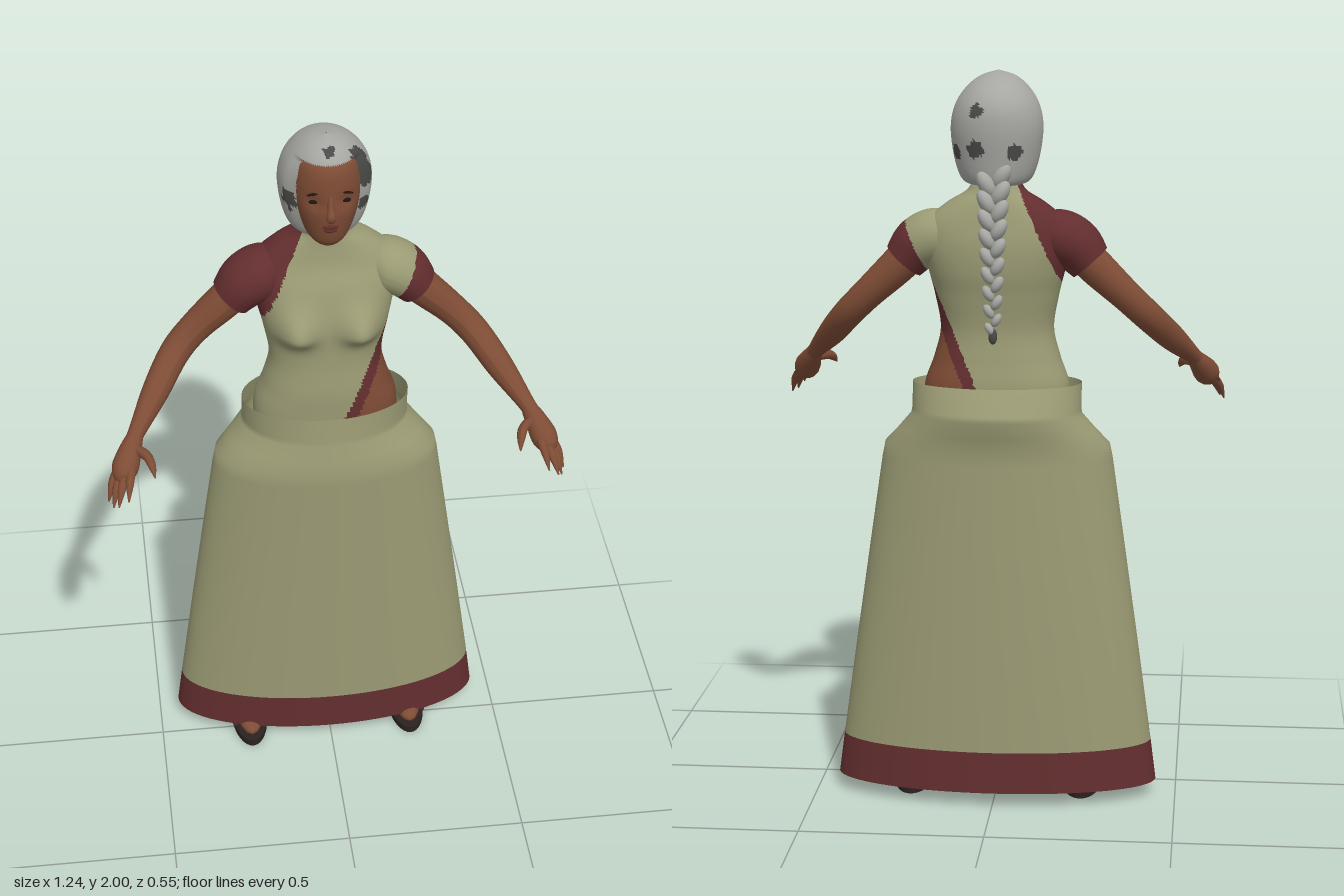
import * as THREE from 'three';

const mat = (name, color, side = THREE.DoubleSide) => {
  const m = new THREE.MeshStandardMaterial({ color, side });
  m.name = name;
  return m;
};
const olive = mat('olive cloth', 0x9a9a74);
const maroon = mat('maroon cloth', 0x632e2f);
const skin = mat('skin', 0x7e4c35);
const grey = mat('grey hair', 0xa6a6a2);
const dark = mat('dark hair', 0x4a4a48);
const sole = mat('sole', 0x2b221f);
const ink = mat('eyes', 0x1c1412);
const lip = mat('lips', 0x5c2c26);

const add = (parent, name, geo, material) => {
  const mesh = new THREE.Mesh(geo, material);
  mesh.name = name;
  parent.add(mesh);
  return mesh;
};

// Sort triangles into material groups by a rule on their centre; -1 drops them.
function paint(geo, pick, count) {
  const p = geo.attributes.position, idx = geo.index.array;
  const sets = Array.from({ length: count }, () => []);
  for (let i = 0; i < idx.length; i += 3) {
    const t = [idx[i], idx[i + 1], idx[i + 2]];
    const mid = f => t.reduce((sum, k) => sum + p[f](k), 0) / 3;
    const m = pick(mid('getX'), mid('getY'), mid('getZ'));
    if (m >= 0) sets[m].push(...t);
  }
  geo.setIndex(sets.flat());
  geo.clearGroups();
  let start = 0;
  sets.forEach((s, m) => { geo.addGroup(start, s.length, m); start += s.length; });
  return geo;
}

// Loft oval sections [y, half width, front z, back z] listed from bottom to top.
function loft(sections, { around = 64, rows = 40, power = 1, smooth = true, shape } = {}) {
  const curve = f => new THREE.CatmullRomCurve3(sections.map(f), false, 'catmullrom', 0.5);
  const size = curve(s => new THREE.Vector3(s[1], s[0], 0));
  const depth = curve(s => new THREE.Vector3(s[2], s[0], s[3]));
  if (!smooth) rows = sections.length - 1;
  const pos = [], index = [], v = new THREE.Vector3();
  const bend = n => Math.sign(n) * Math.abs(n) ** power;
  for (let j = 0; j <= rows; j++) {
    const a = size.getPoint(j / rows), b = depth.getPoint(j / rows);
    for (let i = 0; i < around; i++) {
      const t = i / around * Math.PI * 2;
      v.set(a.x * bend(Math.sin(t)), a.y, (b.x + b.z) / 2 + (b.x - b.z) / 2 * bend(Math.cos(t)));
      if (shape) shape(v);
      pos.push(v.x, v.y, v.z);
      if (j === rows) continue;
      const k = j * around + i, n = j * around + (i + 1) % around;
      index.push(k, n, k + around, n, n + around, k + around);
    }
  }
  const geo = new THREE.BufferGeometry();
  geo.setAttribute('position', new THREE.Float32BufferAttribute(pos, 3));
  geo.setIndex(index);
  geo.computeVertexNormals();
  return geo;
}

// Tapered tube through points [x, y, z, radius]; side mirrors x.
function limb(points, side = 1, steps = 20, sides = 16, zScale = 1) {
  const curve = new THREE.CatmullRomCurve3(points.map(p => new THREE.Vector3(p[0] * side, p[1], p[2])), false, 'catmullrom', 0.5);
  const radius = new THREE.CatmullRomCurve3(points.map(p => new THREE.Vector3(p[3], 0, 0)), false, 'catmullrom', 0.5);
  const geo = new THREE.TubeGeometry(curve, steps, 1, sides);
  const p = geo.attributes.position, v = new THREE.Vector3();
  for (let i = 0; i < p.count; i++) {
    const u = Math.floor(i / (sides + 1)) / steps, c = curve.getPointAt(u);
    v.fromBufferAttribute(p, i).sub(c).multiplyScalar(radius.getPoint(curve.getUtoTmapping(u)).x);
    p.setXYZ(i, c.x + v.x, c.y + v.y, c.z + v.z * zScale);
  }
  geo.computeVertexNormals();
  return geo;
}

function blob(parent, name, material, [x, y, z], [a, b, c], tilt = 0) {
  const m = add(parent, name, new THREE.SphereGeometry(1, 16, 12), material);
  m.position.set(x, y, z);
  m.scale.set(a, b, c);
  m.rotation.z = tilt;
  return m;
}

// Drape edge on the left side and blouse edge on the right shoulder.
const drapeEdge = y => 0.05 + (y - 1.165) * 0.45;
const cloth = (x, y) => {
  if (x < 0) return y > 1.42 && x < -0.185 + (y - 1.42) * 0.45 ? 1 : 0;
  if (x < drapeEdge(y)) return 0;
  return y < 1.34 && x > drapeEdge(y) + 0.035 ? 2 : 1;
};

function buildSkirt(g) {
  const skirt = loft([
    [0.155, 0.43, 0.071, -0.268], [0.45, 0.389, 0.074, -0.262], [0.75, 0.346, 0.077, -0.254],
    [0.95, 0.317, 0.08, -0.247], [0.99, 0.309, 0.08, -0.247], [1.03, 0.272, 0.071, -0.258],
    [1.075, 0.234, 0.06, -0.272], [1.09, 0.231, 0.057, -0.268], [1.16, 0.231, 0.05, -0.226],
  ], { smooth: false, around: 80 });
  add(g, 'skirt', skirt, olive);
  add(g, 'skirtHem', loft([[0.04, 0.445, 0.07, -0.272], [0.155, 0.43, 0.071, -0.268]], { smooth: false, around: 80 }), maroon);
}

function buildTorso(g) {
  const geo = loft([
    [1.08, 0.2, 0.03, -0.21], [1.16, 0.196, 0.032, -0.212], [1.23, 0.172, 0.032, -0.2],
    [1.31, 0.154, 0.024, -0.19], [1.4, 0.168, 0.02, -0.2], [1.47, 0.185, 0.014, -0.212],
    [1.54, 0.2, -0.003, -0.212], [1.6, 0.19, -0.03, -0.2], [1.65, 0.135, -0.042, -0.185],
    [1.68, 0.085, -0.045, -0.17], [1.7, 0.068, -0.045, -0.16],
  ], {
    around: 128, rows: 90, power: 0.88,
    shape: v => {
      if (v.z < -0.06) return;
      const dx = (Math.abs(v.x) - 0.09) / 0.055, dy = (v.y - 1.425) / (v.y < 1.425 ? 0.038 : 0.065);
      v.z += 0.052 * Math.exp(-dx * dx - dy * dy);
    },
  });
  add(g, 'torso', paint(geo, cloth, 3), [olive, maroon, skin]);
  add(g, 'neck', limb([[0, 1.6, -0.11, 0.07], [0, 1.68, -0.1, 0.056], [0, 1.78, -0.085, 0.055]]), skin);
}

function buildArm(g, s) {
  const arm = new THREE.Group();
  arm.name = s > 0 ? 'leftArm' : 'rightArm';
  g.add(arm);
  const sleeve = limb([[0.12, 1.57, -0.105, 0.05], [0.16, 1.563, -0.104, 0.072], [0.21, 1.537, -0.1, 0.073], [0.252, 1.49, -0.1, 0.06]], s, 40, 48, 1.12);
  add(arm, 'sleeve', paint(sleeve, (x, y) => x > 0 && x < drapeEdge(y) ? 0 : 1, 2), [olive, maroon]);
  add(arm, 'armSkin', limb([
    [0.2, 1.545, -0.1, 0.052], [0.27, 1.475, -0.1, 0.05], [0.35, 1.4, -0.095, 0.043], [0.41, 1.34, -0.068, 0.041],
    [0.47, 1.272, 0.01, 0.037], [0.53, 1.205, 0.1, 0.023], [0.545, 1.185, 0.125, 0.024],
  ], s, 32), skin);
  add(arm, 'palm', limb([
    [0.53, 1.205, 0.1, 0.02], [0.55, 1.175, 0.135, 0.03], [0.568, 1.145, 0.175, 0.036], [0.58, 1.125, 0.205, 0.02], [0.583, 1.12, 0.21, 0.002],
  ], s, 14), skin);
  // Four fingers as [base, tip], then the thumb.
  const fingers = [
    [[0.553, 1.15, 0.195], [0.565, 1.105, 0.272]], [[0.57, 1.138, 0.2], [0.592, 1.085, 0.268]],
    [[0.585, 1.125, 0.19], [0.606, 1.068, 0.245]], [[0.594, 1.125, 0.17], [0.617, 1.066, 0.212]],
  ];
  for (const [a, b] of fingers) {
    const m = [0, 1, 2].map(i => (a[i] + b[i]) / 2 + (i === 1 ? 0.008 : 0));
    add(arm, 'finger', limb([[...a, 0.012], [...m, 0.011], [...b, 0.002]], s, 8, 8), skin);
  }
  add(arm, 'thumb', limb([[0.54, 1.18, 0.135, 0.014], [0.508, 1.18, 0.175, 0.014], [0.497, 1.168, 0.205, 0.011], [0.491, 1.15, 0.235, 0.002]], s, 10, 8), skin);
}

function buildLeg(g, s) {
  const leg = new THREE.Group();
  leg.name = s > 0 ? 'leftLeg' : 'rightLeg';
  g.add(leg);
  add(leg, 'shin', limb([[0.235, 0.04, -0.125, 0.036], [0.23, 0.13, -0.13, 0.036], [0.2, 0.35, -0.12, 0.055], [0.17, 0.55, -0.1, 0.058], [0.11, 1.05, -0.095, 0.085]], s), skin);
  blob(leg, 'foot', skin, [s * 0.237, 0.035, -0.045], [0.042, 0.028, 0.12]);
  const base = add(leg, 'sandalSole', new THREE.CylinderGeometry(1, 1, 0.02, 32), sole);
  base.scale.set(0.053, 1, 0.135);
  base.position.set(s * 0.237, 0.01, -0.045);
  const strap = add(leg, 'sandalStrap', new THREE.TorusGeometry(0.042, 0.008, 8, 20, Math.PI), lip);
  strap.scale.set(1.08, 0.85, 2.5);
  strap.position.set(s * 0.237, 0.016, 0);
}

function buildHead(g) {
  const head = new THREE.Group();
  head.name = 'head';
  g.add(head);
  add(head, 'face', loft([
    [1.692, 0.002, -0.01, -0.02], [1.698, 0.028, 0.008, -0.06], [1.72, 0.052, 0.026, -0.1], [1.76, 0.072, 0.037, -0.14],
    [1.81, 0.087, 0.045, -0.17], [1.87, 0.096, 0.043, -0.185], [1.92, 0.09, 0.039, -0.18], [1.95, 0.076, 0.024, -0.16], [1.975, 0.04, -0.01, -0.12],
  ], { power: 0.93, shape: v => {
    if (v.z < 0) return;
    // Eye hollows and brow
    const dx = (Math.abs(v.x) - 0.042) / 0.022, dy = (v.y - 1.845) / 0.018;
    v.z -= 0.008 * Math.exp(-dx * dx - dy * dy);
  } }), skin);
  add(head, 'nose', limb([[0, 1.865, 0.038, 0.007], [0, 1.83, 0.05, 0.009], [0, 1.808, 0.056, 0.013], [0, 1.797, 0.044, 0.003]], 1, 12, 12), skin);
  blob(head, 'upperLip', lip, [0, 1.774, 0.039], [0.021, 0.006, 0.008]);
  blob(head, 'lowerLip', lip, [0, 1.763, 0.037], [0.018, 0.006, 0.009]);
  for (const s of [-1, 1]) {
    blob(head, 'eye', ink, [s * 0.042, 1.846, 0.027], [0.013, 0.006, 0.007]);
    blob(head, 'eyebrow', ink, [s * 0.043, 1.872, 0.033], [0.018, 0.003, 0.005], -s * 0.15);
  }
  // Hair shell with a face opening and uneven dark patches
  const spots = [
    [0.09, 1.94, -0.015, 0.04], [0.115, 1.885, -0.025, 0.036], [0.105, 1.8, -0.02, 0.025], [-0.115, 1.82, -0.02, 0.035],
    [0, 1.975, 0.005, 0.017], [0.05, 1.8, -0.205, 0.025], [0.1, 1.79, -0.15, 0.022], [-0.06, 1.79, -0.2, 0.022], [0.045, 1.9, -0.2, 0.02],
  ];
  const hair = loft([
    [1.7, 0.004, -0.11, -0.12], [1.7, 0.06, -0.04, -0.18], [1.715, 0.093, -0.012, -0.2], [1.77, 0.114, 0.015, -0.212],
    [1.85, 0.124, 0.035, -0.222], [1.91, 0.113, 0.044, -0.214], [1.955, 0.085, 0.033, -0.18], [1.985, 0.048, 0.002, -0.12], [2, 0.002, -0.05, -0.054],
  ], { around: 96, rows: 64, shape: v => {
    if (v.y < 1.95) v.x *= 1 - 0.16 * THREE.MathUtils.smoothstep(v.z, -0.045, 0.005);
  } });
  const shade = (x, y, z) => {
    if (z > -0.008 && y < 1.952) return -1;
    const rough = 1 + 0.25 * Math.sin(x * 190 + y * 150) * Math.cos(z * 170 - y * 90);
    return spots.some(s => Math.hypot(x - s[0], y - s[1], z - s[2]) < s[3] * rough) ? 1 : 0;
  };
  add(head, 'hair', paint(hair, shade, 2), [grey, dark]);
}

function buildBraid(g) {
  const braid = new THREE.Group();
  braid.name = 'braid';
  g.add(braid);
  const path = new THREE.CatmullRomCurve3([[1.73, -0.19], [1.66, -0.215], [1.55, -0.236], [1.43, -0.236], [1.325, -0.226]].map(([y, z]) => new THREE.Vector3(0, y, z)));
  const n = 18;
  for (let i = 0; i < n; i++) {
    const t = i / (n - 1), p = path.getPointAt(t), r = 0.032 - 0.017 * t, s = i % 2 ? 1 : -1;
    blob(braid, 'braidStrand', grey, [s * r * 0.62, p.y, p.z], [r * 0.72, r * 1.25, r * 0.85], -s * 0.55);
  }
  blob(braid, 'braidTip', dark, [0, 1.305, -0.225], [0.012, 0.022, 0.011]);
}

export function createModel() {
  const g = new THREE.Group();
  g.name = 'woman';
  buildSkirt(g);
  buildTorso(g);
  for (const s of [1, -1]) {
    buildArm(g, s);
    buildLeg(g, s);
  }
  buildHead(g);
  buildBraid(g);
  return g;
}
